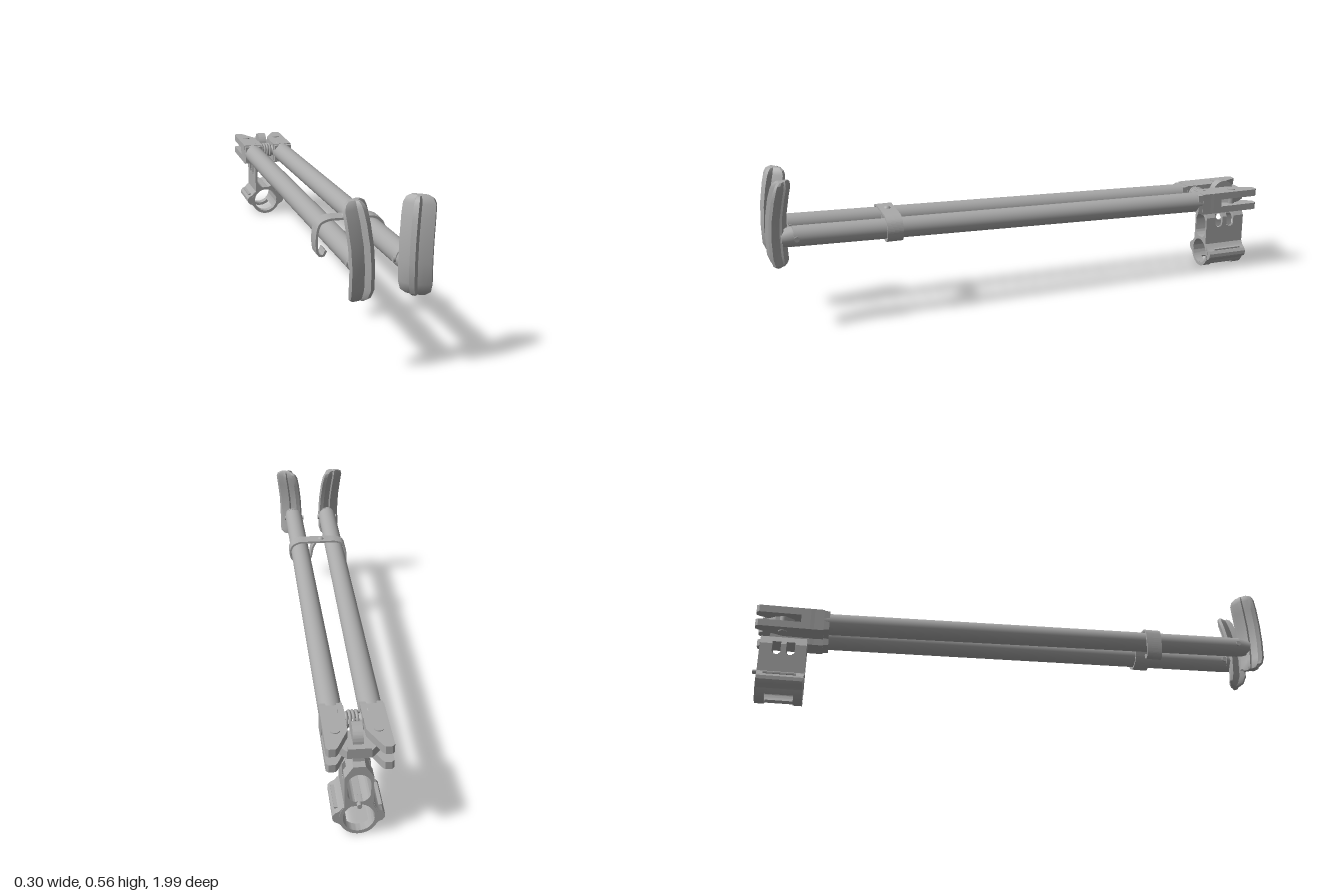
import * as THREE from 'three';
import { mergeGeometries, toCreasedNormals } from 'three/addons/utils/BufferGeometryUtils.js';

const steel = new THREE.MeshStandardMaterial({ color: 0xaaaaaa });
steel.name = 'steel';

const V = (x, y, z) => new THREE.Vector3(x, y, z);

function add(parent, name, geometry) {
  const mesh = new THREE.Mesh(geometry, steel);
  mesh.name = name;
  parent.add(mesh);
  return mesh;
}

// Cylinder or cone between two points
function rod(a, b, r0, r1 = r0, sides = 32) {
  const dir = b.clone().sub(a);
  const g = new THREE.CylinderGeometry(r1, r0, dir.length(), sides);
  g.applyQuaternion(new THREE.Quaternion().setFromUnitVectors(V(0, 1, 0), dir.normalize()));
  const m = a.clone().add(b).multiplyScalar(0.5);
  return g.translate(m.x, m.y, m.z);
}

function box(w, h, d, x, y, z) {
  return new THREE.BoxGeometry(w, h, d).translate(x, y, z);
}

function poly(points) {
  return new THREE.Shape(points.map(([x, y]) => new THREE.Vector2(x, y)));
}

// Outline in x, y extruded from z0 to z1
function slab(shape, z0, z1) {
  const g = new THREE.ExtrudeGeometry(shape, { depth: z1 - z0, bevelEnabled: false, curveSegments: 32 });
  return toCreasedNormals(g.translate(0, 0, z0), 0.5);
}

// Outline in x, z extruded from y0 to y1
function plan(points, y0, y1) {
  const g = new THREE.ExtrudeGeometry(poly(points.map(([x, z]) => [x, -z])), { depth: y1 - y0, bevelEnabled: false });
  return g.rotateX(-Math.PI / 2).translate(0, y0, 0);
}

// Curved foot with a raised central ridge, lofted upward
function padGeometry() {
  const section = [[-0.054, -0.008], [-0.04, -0.016], [-0.01, -0.016], [-0.007, -0.023], [0.007, -0.023],
    [0.01, -0.016], [0.04, -0.016], [0.054, -0.008], [0.054, 0.004], [0.03, 0.014], [0.013, 0.02],
    [0.009, 0.042], [-0.009, 0.042], [-0.013, 0.02], [-0.03, 0.014], [-0.054, 0.004]];
  // height, forward offset, width scale, depth scale
  const levels = [[0.25, -0.012, 0.6, 0.5], [0.262, -0.008, 0.9, 0.85], [0.29, -0.002, 1, 1], [0.36, 0, 1, 1],
    [0.43, -0.006, 1, 1], [0.5, -0.02, 1, 1], [0.54, -0.031, 0.97, 0.95], [0.556, -0.034, 0.82, 0.8], [0.565, -0.036, 0.5, 0.55]];
  const n = section.length, pos = [], idx = [];
  for (const [y, off, su, sw] of levels)
    for (const [u, w] of section) pos.push(u * su, y, w * sw + off);
  const last = (levels.length - 1) * n, c = pos.length / 3;
  pos.push(0, levels[0][0], levels[0][1], 0, levels.at(-1)[0], levels.at(-1)[1]);
  for (let i = 0; i < n; i++) {
    const j = (i + 1) % n;
    for (let k = 0; k < last; k += n) idx.push(k + i, k + n + i, k + j, k + j, k + n + i, k + n + j);
    idx.push(c, i, j, c + 1, last + j, last + i);
  }
  const g = new THREE.BufferGeometry();
  g.setAttribute('position', new THREE.Float32BufferAttribute(pos, 3));
  g.setIndex(idx);
  return toCreasedNormals(g, 0.5);
}

// Clamp cross-section pieces; slot is the height of the side slot floor, or null
function clampSlice(slot, openFloor, z0, z1) {
  const parts = [];
  const gap = openFloor ? 0.75 : 0.0005, a0 = -Math.PI / 2 + gap, a1 = 1.5 * Math.PI - gap;
  const ring = new THREE.Shape();
  ring.absarc(0, 0.065, 0.064, a0, a1, false);
  ring.absarc(0, 0.065, 0.052, a1, a0, true);
  parts.push(slab(ring, z0, z1));

  const top = slot ?? 0.195;
  const cradle = new THREE.Shape();
  cradle.moveTo(0.047, 0.1);
  cradle.absarc(0, 0.065, 0.0586, 0.64, Math.PI - 0.64, false);
  cradle.lineTo(-0.047, top);
  cradle.lineTo(-0.038, top);
  cradle.absellipse(0, 0.16, 0.038, 0.034, Math.PI, 2 * Math.PI, false);
  cradle.lineTo(0.038, top);
  cradle.lineTo(0.047, top);
  parts.push(slab(cradle, z0, z1));

  let cap;
  if (slot !== null) cap = poly([[-0.038, 0.235], [0.038, 0.235], [0.02, 0.262], [-0.02, 0.262]]);
  else {
    cap = poly([[-0.038, 0.195], [-0.047, 0.195], [-0.047, 0.222], [-0.02, 0.262], [0.02, 0.262], [0.047, 0.222], [0.047, 0.195]]);
    cap.absellipse(0, 0.195, 0.038, 0.037, 0, Math.PI, false);
  }
  parts.push(slab(cap, z0, z1));
  return parts;
}

function buildClamp(parent) {
  const r = 0.016, slots = [-0.918, -0.866], front = -0.807, back = -0.98;
  const cuts = [back, -0.945, -0.84, front];
  for (const s of slots) for (const t of [-1, -0.85, -0.5, 0, 0.5, 0.85, 1]) cuts.push(s + t * r);
  cuts.sort((a, b) => a - b);
  const parts = [];
  for (let i = 0; i + 1 < cuts.length; i++) {
    const mid = (cuts[i] + cuts[i + 1]) / 2;
    const s = slots.find(v => Math.abs(v - mid) < r);
    const floor = s === undefined ? null : 0.195 - Math.sqrt(r * r - (mid - s) ** 2);
    parts.push(...clampSlice(floor, mid > -0.945 && mid < -0.84, cuts[i], cuts[i + 1]));
  }
  add(parent, 'clampBody', mergeGeometries(parts));
  for (const s of [-1, 1]) {
    // Rounded side ear
    const ear = poly([[0.05, 0.03], [0.066, 0.044], [0.078, 0.05], [0.085, 0.06], [0.085, 0.074], [0.077, 0.085], [0.064, 0.091], [0.052, 0.106]]
      .map(([x, y]) => [s * x, y]));
    add(parent, 'clampEar', slab(ear, back + 0.002, front - 0.002));
    add(parent, 'earRib', box(0.012, 0.006, 0.12, s * 0.072, 0.09, -0.895));
  }
  add(parent, 'latchPin', rod(V(0, 0.121, -0.97), V(0, 0.121, -0.998), 0.008));
}

function buildPivot(parent) {
  // Upright head and horizontal hinge plate
  const head = new THREE.Shape();
  head.moveTo(-0.055, 0.255);
  head.lineTo(0.055, 0.255);
  head.absarc(0, 0.322, 0.047, 0, Math.PI, false);
  const g = slab(head, -0.017, 0.017).rotateY(Math.PI / 2).translate(0, 0, -0.895);
  add(parent, 'pivotHead', g);
  add(parent, 'hingePlate', plan([[-0.04, -0.975], [0.04, -0.975], [0.075, -0.93], [0.08, -0.89], [0.06, -0.86], [-0.06, -0.86], [-0.08, -0.89], [-0.075, -0.93]], 0.292, 0.32));
  add(parent, 'stopBar', box(0.076, 0.03, 0.025, 0, 0.315, -0.967));
  // Spring between the legs
  const pts = [];
  for (let i = 0; i <= 112; i++) {
    const t = i / 112, a = t * 4 * 2 * Math.PI;
    pts.push(V(-0.024 + 0.048 * t, 0.315 + 0.026 * Math.cos(a), -0.785 + 0.026 * Math.sin(a)));
  }
  add(parent, 'spring', new THREE.TubeGeometry(new THREE.CatmullRomCurve3(pts), 200, 0.0055, 8));
  for (const s of [-1, 1]) add(parent, 'springSeat', rod(V(s * 0.02, 0.312, -0.785), V(s * 0.05, 0.312, -0.785), 0.018, 0.038));
}

function buildLeg(s) {
  const leg = new THREE.Group();
  leg.name = s > 0 ? 'leftLeg' : 'rightLeg';
  const m = pts => pts.map(([x, z]) => [s * x, z]);
  add(leg, 'legTube', rod(V(s * 0.067, 0.308, -0.75), V(s * 0.078, 0.351, 0.9), 0.04, 0.038, 48));
  add(leg, 'legNeck', rod(V(s * 0.078, 0.351, 0.9), V(s * 0.083, 0.347, 0.945), 0.038, 0.03));
  add(leg, 'footPin', rod(V(s * 0.034, 0.35, 0.89), V(s * 0.12, 0.35, 0.89), 0.01));
  // Fork: tapered collar, solid root and two tines
  const collar = new THREE.CylinderGeometry(0.0405 * Math.SQRT2, 0.038 * Math.SQRT2, 0.07, 4, 1).rotateY(Math.PI / 4).rotateX(-Math.PI / 2);
  collar.translate(s * 0.068, 0.306, -0.765);
  add(leg, 'forkCollar', toCreasedNormals(collar, 0.3));
  add(leg, 'forkRoot', plan(m([[0.108, -0.75], [0.108, -0.835], [0.028, -0.835], [0.028, -0.75]]), 0.263, 0.348));
  const tine = m([[0.108, -0.8], [0.108, -0.99], [0.1, -1], [0.078, -1], [0.07, -0.99], [0.03, -0.9], [0.028, -0.8]]);
  add(leg, 'upperTine', plan(tine, 0.32, 0.348));
  add(leg, 'lowerTine', plan(tine, 0.263, 0.29));
  add(leg, 'hingePin', rod(V(s * 0.07, 0.26, -0.9), V(s * 0.07, 0.351, -0.9), 0.016));
  const pad = add(leg, 'footPad', padGeometry());
  pad.position.set(s * 0.086, 0, 0.955);
  pad.rotation.y = -s * 0.61;
  return leg;
}

// Bent strip wrapping one leg, crossing over and ending in a hook
function buildStrap(parent) {
  const path = new THREE.CatmullRomCurve3([[0.01, 0.385], [0.022, 0.36], [0.033, 0.315], [0.05, 0.3], [0.078, 0.295], [0.108, 0.309],
    [0.119, 0.34], [0.108, 0.372], [0.08, 0.387], [0.04, 0.388], [-0.04, 0.388], [-0.08, 0.387], [-0.109, 0.374], [-0.12, 0.345],
    [-0.122, 0.29], [-0.115, 0.264], [-0.1, 0.261], [-0.09, 0.278]].map(([x, y]) => V(x, y, 0)));
  const n = 110, strips = [], rim = t => {
    const p = path.getPoint(t), d = path.getTangent(t);
    return [-1, 1].map(k => [p.x - d.y * k * 0.004, p.y + d.x * k * 0.004]);
  };
  for (let i = 0; i < n; i++) {
    const [a, b] = rim(i / n), [d, c] = rim((i + 1) / n);
    strips.push(slab(poly([a, d, c, b]), 0.503, 0.563));
  }
  add(parent, 'strap', mergeGeometries(strips));
  add(parent, 'strapRivet', new THREE.SphereGeometry(0.014, 24, 16).translate(-0.015, 0.387, 0.533));
}

export function createModel() {
  const model = new THREE.Group();
  model.name = 'foldedBipod';
  for (const s of [-1, 1]) model.add(buildLeg(s));
  for (const [name, build] of [['clamp', buildClamp], ['pivot', buildPivot], ['legStrap', buildStrap]]) {
    const group = new THREE.Group();
    group.name = name;
    build(group);
    model.add(group);
  }
  return model;
}
